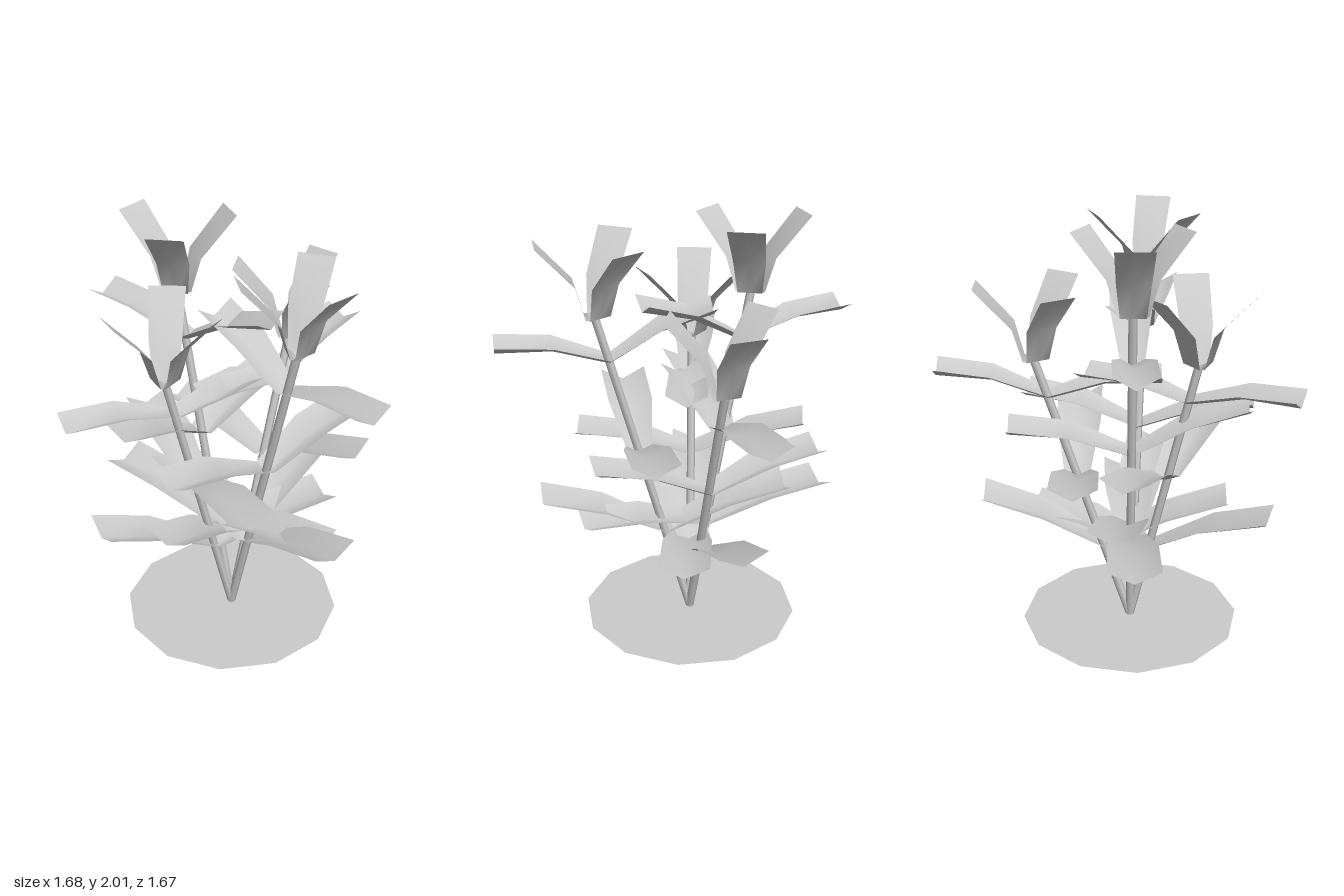
import * as THREE from 'three';

const material = new THREE.MeshStandardMaterial({ color: 0xcccccc, side: THREE.DoubleSide });
const ROOT = new THREE.Vector3(-0.06, 0, 0.065);

// Strip running along +x. Each row is [reach, height, width, fold depth];
// the edges sit higher than the midrib by the fold depth.
function stripGeometry(rows) {
  const positions = [];
  const index = [];
  rows.forEach(([reach, height, width, fold], i) => {
    for (const side of [-1, 0, 1]) {
      positions.push(reach, height + Math.abs(side) * fold, side * width / 2);
    }
    if (i === 0) return;
    for (let j = 0; j < 2; j++) {
      const a = (i - 1) * 3 + j;
      const b = a + 3;
      index.push(a, a + 1, b, a + 1, b + 1, b);
    }
  });
  const geometry = new THREE.BufferGeometry();
  geometry.setAttribute('position', new THREE.Float32BufferAttribute(positions, 3));
  geometry.setIndex(index);
  geometry.computeVertexNormals();
  return geometry;
}

function addMesh(parent, name, geometry, position, degrees = 0) {
  const mesh = new THREE.Mesh(geometry, material);
  mesh.name = name;
  mesh.position.copy(position);
  mesh.rotation.y = -THREE.MathUtils.degToRad(degrees);
  parent.add(mesh);
  return mesh;
}

// Leaf that climbs quickly, then flattens towards a notched end
function leafGeometry(length, width, rise) {
  const reach = Math.sqrt(length * length - rise * rise);
  return stripGeometry([
    [0, 0, width * 0.58, 0.03],
    [reach * 0.5, rise * 0.5 + 0.035, width * 0.98, 0.045],
    [reach, rise, width, 0.058],
  ]);
}

// Flower petal: steep cup, then a flared blade
const petalGeometry = stripGeometry([
  [0.0, 0, 0.08, 0],
  [0.045, 0.003, 0.115, 0],
  [0.09, 0.165, 0.15, 0],
  [0.26, 0.35, 0.17, 0],
]);

// Leaf levels up a stem: fraction of its length, leaf length and width
const LEVELS = [
  { at: 0.28, length: 0.63, width: 0.24 },
  { at: 0.565, length: 0.575, width: 0.22 },
  { at: 0.855, length: 0.53, width: 0.195 },
];

// Each stem: tip, heading in degrees from +x towards +z,
// and the rise of the two opposite leaves at each level
const STEMS = [
  { tip: [-0.36, 1.65, 0.05], turn: 182.5, rises: [[0.11, 0.09], [0.115, 0.21], [0.085, 0.2]] },
  { tip: [0.37, 1.59, 0.16], turn: 13.5, rises: [[0.21, 0.19], [0.145, 0.135], [0.085, 0.21]] },
  { tip: [-0.2, 1.36, 0.36], turn: 116.5, rises: [[0.24, 0.1], [0.17, 0.095], [0.065, 0.05]] },
  { tip: [-0.03, 1.345, -0.38], turn: 274, rises: [[0.25, 0.23], [0.19, 0.135], [0.115, 0.08]] },
];

function createStem({ tip, turn, rises }) {
  const group = new THREE.Group();
  group.name = 'floweringStem';
  const end = new THREE.Vector3(...tip);
  const axis = end.clone().sub(ROOT);

  // Stalk
  const stalk = addMesh(group, 'stalk',
    new THREE.CylinderGeometry(0.02, 0.02, axis.length(), 6),
    ROOT.clone().addScaledVector(axis, 0.5));
  stalk.quaternion.setFromUnitVectors(new THREE.Vector3(0, 1, 0), axis.clone().normalize());

  // Opposite leaf pairs, a quarter turn between levels
  LEVELS.forEach(({ at, length, width }, level) => {
    const node = ROOT.clone().addScaledVector(axis, at);
    const heading = turn + (level === 1 ? 90 : 0);
    rises[level].forEach((rise, k) => {
      addMesh(group, 'leaf', leafGeometry(length, width, rise), node, heading + 180 * k);
    });
  });

  // Three-petalled flower
  for (let k = 0; k < 3; k++) {
    addMesh(group, 'petal', petalGeometry, end, turn + 120 * k);
  }
  return group;
}

export function createModel() {
  const model = new THREE.Group();
  model.name = 'plant';

  // Ground disc
  const disc = addMesh(model, 'groundDisc', new THREE.CircleGeometry(0.525, 12),
    new THREE.Vector3(ROOT.x, 0, ROOT.z));
  disc.rotation.x = -Math.PI / 2;

  for (const stem of STEMS) model.add(createStem(stem));
  return model;
}
